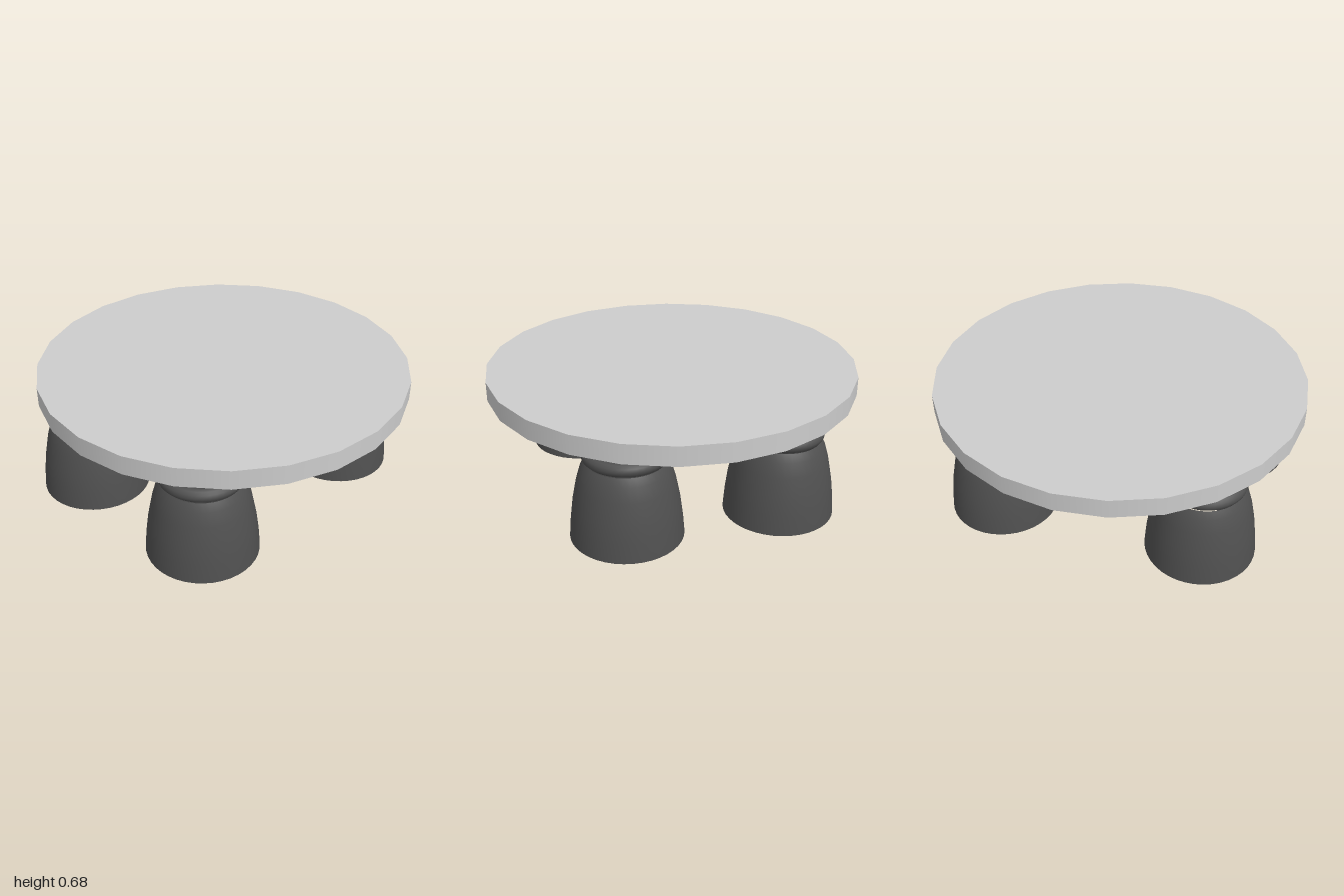
import * as THREE from 'three';

const plateGrey = new THREE.MeshStandardMaterial({ color: 0xcccccc });
plateGrey.name = 'light grey';
const nozzleGrey = new THREE.MeshStandardMaterial({ color: 0x505050 });
nozzleGrey.name = 'dark grey';

function lathe(name, profile) {
  const points = profile.map(([r, y]) => new THREE.Vector2(r, y));
  const mesh = new THREE.Mesh(new THREE.LatheGeometry(points, 40), nozzleGrey);
  mesh.name = name;
  return mesh;
}

// Hollow bell with three stacked collars and a domed top, open at y = 0
function createNozzle(name) {
  const nozzle = new THREE.Group();
  nozzle.name = name;
  const wall = 0.018;
  const bell = [[0.293, 0], [0.285, 0.1], [0.272, 0.2], [0.25, 0.31], [0.228, 0.385], [0.205, 0.425]];
  const inner = bell.map(([r, y]) => [r - wall, y]).reverse();

  nozzle.add(lathe('bellOutside', bell));
  nozzle.add(lathe('bellRim', [[0.293 - wall, 0], [0.293, 0]]));
  nozzle.add(lathe('bellInside', inner));
  nozzle.add(lathe('bellCeiling', [[0, 0.425], [0.205 - wall, 0.425]]));
  nozzle.add(lathe('dome', [[0.19, 0.43], [0.165, 0.5], [0.135, 0.57], [0.09, 0.615], [0, 0.64]]));

  // Collars: outer radius, height of centre, tube radius
  for (const [outer, y, tube] of [[0.222, 0.46, 0.035], [0.188, 0.525, 0.031], [0.15, 0.578, 0.024]]) {
    const collar = new THREE.Mesh(new THREE.TorusGeometry(outer - tube, tube, 12, 40), nozzleGrey);
    collar.name = 'collar';
    collar.rotation.x = Math.PI / 2;
    collar.position.y = y;
    nozzle.add(collar);
  }
  return nozzle;
}

export function createModel() {
  const model = new THREE.Group();
  model.name = 'enginePlate';

  // Round mounting plate
  const plate = new THREE.Mesh(new THREE.CylinderGeometry(1, 1, 0.103, 24), plateGrey);
  plate.name = 'plate';
  plate.position.y = 0.63;
  model.add(plate);

  // Four main nozzles
  for (const x of [-0.585, 0.535]) {
    for (const z of [-0.43, 0.4]) {
      const nozzle = createNozzle('mainNozzle');
      nozzle.position.set(x, 0, z);
      model.add(nozzle);
    }
  }

  // Two small nozzles between them
  for (const z of [-0.277, 0.305]) {
    const nozzle = createNozzle('smallNozzle');
    nozzle.scale.setScalar(0.467);
    nozzle.position.set(0.005, 0.282, z);
    model.add(nozzle);
  }
  return model;
}
